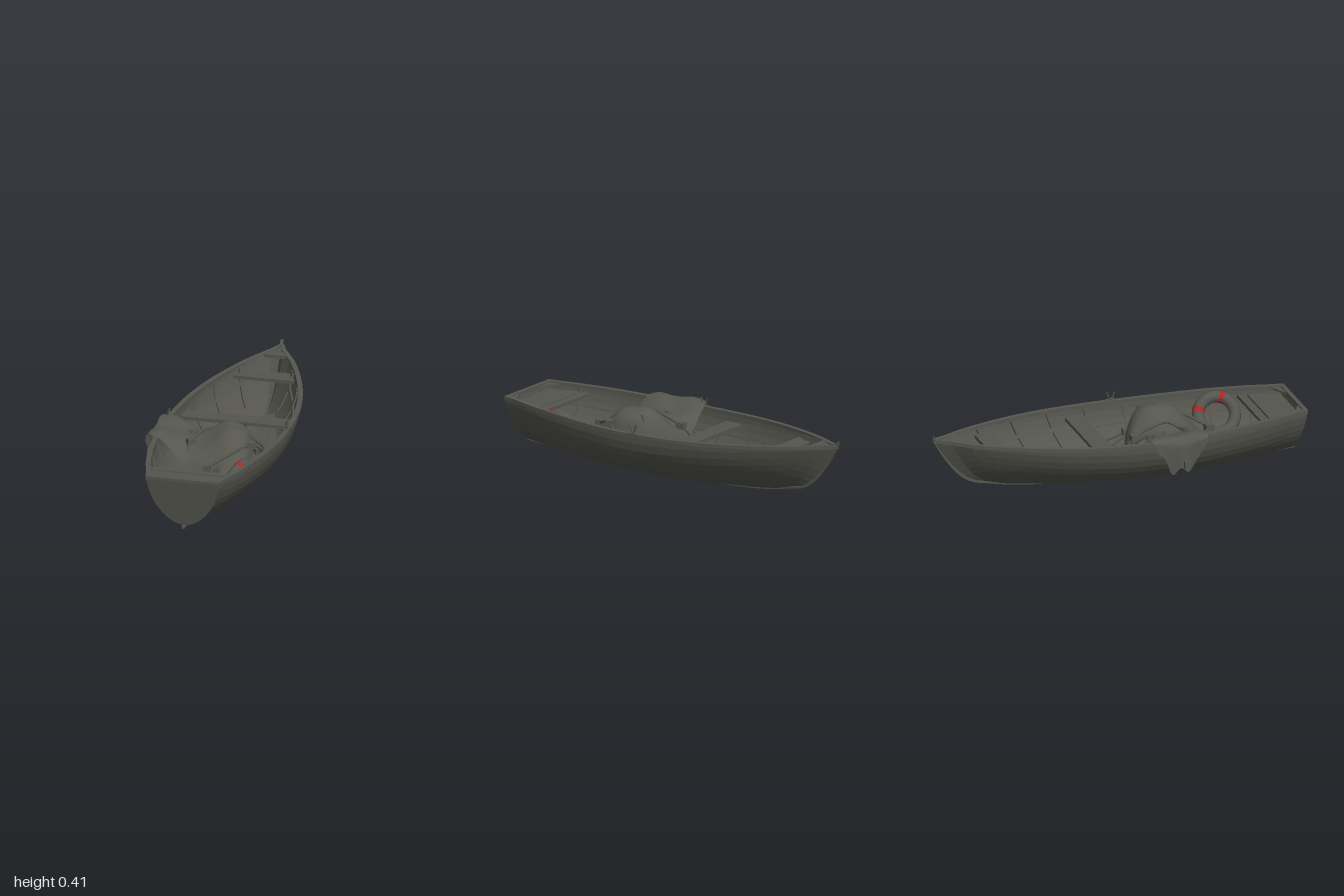
import * as THREE from 'three';

const grey = new THREE.MeshStandardMaterial({ color: 0x56564f, side: THREE.DoubleSide });
grey.name = 'weatheredGrey';
const red = new THREE.MeshStandardMaterial({ color: 0xa82a24 });
red.name = 'fadedRed';

// evenly spaced station tables, bow (0) to stern (1)
const table = (vals) => {
  const c = new THREE.SplineCurve(vals.map((v, i) => new THREE.Vector2(i, v)));
  return (t) => c.getPoint(THREE.MathUtils.clamp(t, 0, 1)).y;
};
const halfWidth = table([.008, .138, .235, .307, .352, .373, .375, .359, .328, .281, .222]);
const sheer = table([.38, .364, .354, .345, .337, .333, .332, .337, .345, .352, .358]);
const keelY = table([.08, .041, .025, .016, .011, .01, .012, .02, .03, .042, .055]);
const fullness = table([1.35, 1.55, 1.75, 1.9, 2, 2.1, 2.1, 2.05, 2, 1.9, 1.8]);
const lerp = THREE.MathUtils.lerp;
const stationAt = (z) => (z + 1.24) / 2.27;

// point on the hull: t along the boat, v from keel to gunwale
function hullPoint(t, v, inset = 0, side = 1) {
  const a = v * Math.PI / 2, e = 2 / fullness(t);
  const f = 1 - Math.pow(Math.max(0, Math.cos(a)), e);
  const x = Math.max(0, halfWidth(t) - inset) * Math.pow(Math.sin(a), e);
  const zBow = -.93 - .31 * Math.sqrt(f) + inset, zStern = lerp(.985, 1.03, f) - inset;
  return [side * x, lerp(keelY(t) + inset, sheer(t), f), lerp(zBow, zStern, t)];
}

// surface from a rule over u, v in 0..1
function grid(fn, nu, nv, flat = false) {
  const pos = [], idx = [];
  for (let i = 0; i <= nu; i++) for (let j = 0; j <= nv; j++) pos.push(...fn(i / nu, j / nv));
  for (let i = 0; i < nu; i++) for (let j = 0; j < nv; j++) {
    const a = i * (nv + 1) + j, b = a + nv + 1;
    idx.push(a, b, b + 1, a, b + 1, a + 1);
  }
  let g = new THREE.BufferGeometry();
  g.setAttribute('position', new THREE.Float32BufferAttribute(pos, 3));
  g.setIndex(idx);
  if (flat) g = g.toNonIndexed();
  g.computeVertexNormals();
  return g;
}

// flat board with an outline in x, z and its top at y
function board(outline, y, thick) {
  const s = new THREE.Shape(outline.map((p) => new THREE.Vector2(p[0], p[1])));
  return new THREE.ExtrudeGeometry(s, { depth: thick, bevelEnabled: false })
    .rotateX(Math.PI / 2).translate(0, y, 0);
}

export function createModel() {
  const model = new THREE.Group();
  model.name = 'rowingBoat';
  const boat = new THREE.Group();
  boat.name = 'boat';
  boat.rotation.y = .607;
  boat.position.set(-.031, 0, .022);
  model.add(boat);
  const add = (name, geo, mat = grey) => {
    const m = new THREE.Mesh(geo, mat);
    m.name = name;
    boat.add(m);
    return m;
  };

  // hull shells, rails, ribs and stringers on both sides
  const corners = [[0, 0], [1, 0], [1, 1], [0, 1], [0, 0]];
  for (const side of [1, -1]) {
    add('hullOuter', grid((t, v) => hullPoint(t, v, 0, side), 24, 10, true));
    add('hullInner', grid((t, v) => hullPoint(t, v, .018, side), 24, 10, true));
    add('gunwale', grid((t, v) => {
      const [cx, cy] = corners[Math.round(v * 4)];
      const [x, y, z] = hullPoint(t, 1);
      return [side * Math.max(0, x + (cx ? .005 : -.026)), y + (cy ? .004 : -.018), z];
    }, 32, 4, true));
    for (let t = .14; t < .93; t += .11) {
      add('rib', grid((u, v) => {
        const [cx, cy] = corners[Math.round(v * 4)];
        return hullPoint(t + (cx - .5) * .018, lerp(.45, .96, u), cy ? .017 : .028, side);
      }, 8, 4, true));
    }
    add('stringer', grid((u, v) => {
      const [cx, cy] = corners[Math.round(v * 4)];
      return hullPoint(lerp(.08, .96, u), .72 + cx * .05, cy ? .017 : .027, side);
    }, 20, 4, true));
    // corner knee at the stern
    add('sternKnee', board([[side * .205, 1.01], [side * .09, 1.01], [side * .2, .96], [side * .24, .9]], .352, .014));
  }

  // transom with inner face and cap
  for (const [name, inset] of [['transomOuter', 0], ['transomInner', .02]]) {
    add(name, grid((u, v) => {
      const p = hullPoint(1, v, inset);
      return [p[0] * (2 * u - 1), p[1], p[2]];
    }, 2, 14));
  }
  add('transomCap', new THREE.BoxGeometry(.446, .018, .026).translate(0, .352, 1.018));

  // stem and keel timber
  const inner = [], outer = [];
  for (let i = 0; i <= 10; i++) {
    const p = hullPoint(0, 1 - i / 10);
    inner.push([p[2] + .012, p[1] + (i ? 0 : .012)]);
    outer.push([p[2] - .006, p[1] - (i ? .01 * i / 10 : -.032)]);
  }
  for (let i = 1; i <= 14; i++) {
    const p = hullPoint(i / 14, 0), z = i === 14 ? 1.02 : p[2];
    inner.push([z, p[1] + .004]);
    outer.push([z, p[1] - .01]);
  }
  const keelShape = new THREE.Shape([...inner, ...outer.reverse()].map((p) => new THREE.Vector2(...p)));
  add('keel', new THREE.ExtrudeGeometry(keelShape, { depth: .018, bevelEnabled: false })
    .rotateY(-Math.PI / 2).translate(.009, 0, 0));

  // floor boards tapering to the bow
  for (let i = 0; i < 7; i++) {
    add('floorBoard', grid((u, v) => {
      const t = lerp(.1, .93, u), k = (i + .04 + v * .92) / 3.5 - 1;
      return [k * halfWidth(t) * .66, .08 + .03 * Math.abs(k) + .03 * Math.pow(2 * u - 1, 4), lerp(-.93, .97, t)];
    }, 14, 1));
  }

  // seats and bow deck
  const seat = (name, z0, z1, y, trim = .024) => {
    const a = Math.max(.004, halfWidth(stationAt(z0)) - trim), b = halfWidth(stationAt(z1)) - trim;
    add(name, board([[-a, z0], [a, z0], [b, z1], [-b, z1]], y, .02));
  };
  seat('bowDeck', -1.225, -1.08, .372, .008);
  seat('bowSeat', -.935, -.82, .322, .03);
  seat('middleSeat', -.305, -.19, .28, .026);
  seat('sternSeatFront', .75, .8, .315, .035);
  seat('sternSeat', .81, 1, .315, .035);

  // oarlocks
  for (const side of [1, -1]) {
    const lock = new THREE.Group();
    lock.name = 'oarlock';
    lock.position.set(side * .364, .334, -.005);
    lock.rotation.y = Math.PI / 2;
    const prongs = new THREE.CatmullRomCurve3([[-.024, .054], [-.016, .035], [-.014, .02], [0, .01], [.014, .02], [.016, .035], [.024, .054]]
      .map((p) => new THREE.Vector3(p[0], p[1], 0)));
    lock.add(new THREE.Mesh(new THREE.TubeGeometry(prongs, 16, .005, 6), grey));
    lock.add(new THREE.Mesh(new THREE.CylinderGeometry(.008, .008, .03, 8), grey));
    lock.add(new THREE.Mesh(new THREE.BoxGeometry(.06, .012, .03), grey));
    boat.add(lock);
  }

  // crumpled cloth heap
  const heapY = (x, z) => .225 + .172 * Math.exp(-((((x - .07) ** 2 + (z - .17) ** 2) / .042) ** 1.4))
    + .135 * THREE.MathUtils.smoothstep(-x, .03, .36)
    + .01 * Math.sin(x * 23 + z * 9) * Math.sin(z * 19 - x * 8);
  const outline = new THREE.CatmullRomCurve3([[-.044, -.057], [.164, .056], [.218, .254], [.21, .439], [.11, .62],
    [.03, .49], [-.1, .44], [-.25, .39], [-.385, .345], [-.388, .16], [-.385, 0], [-.18, -.054]]
    .map((p) => new THREE.Vector3(p[0], 0, p[1])), true, 'centripetal');
  add('clothHeap', grid((u, r) => {
    const p = outline.getPoint(u), x = lerp(.06, p.x, r), z = lerp(.18, p.z, r);
    return [x, heapY(x, z) - .08 * r ** 8 * THREE.MathUtils.smoothstep(x, -.34, -.12), z];
  }, 60, 14));

  // cloth hanging over the side
  const hem = table([.28, .24, .13, .18, .145, .21, .3]);
  add('clothDrape', grid((u, v) => {
    const out = .028 * Math.sin(Math.min(1, v * 4) * Math.PI / 2);
    const z = lerp(0, .345, u), pinch = lerp(1, .9, v);
    return [-.382 - out - .008 * v * Math.sin(u * 14), lerp(.36, hem(u), v) + .006 * Math.sin(u * 9), .17 + (z - .17) * pinch];
  }, 24, 12));
  add('hangingFloat', new THREE.BoxGeometry(.03, .045, .045).translate(-.418, .195, .21));

  // net ropes with block floats; points are x, z and an optional height
  const rope = (pts, floats) => {
    const v = pts.map(([x, z, y]) => {
      const lx = .821 * x - .571 * z + .038, lz = .571 * x + .821 * z;
      return new THREE.Vector3(lx, y ?? heapY(lx, lz) + .01, lz);
    });
    add('netRope', new THREE.TubeGeometry(new THREE.CatmullRomCurve3(v), 50, .008, 6));
    for (const i of floats) {
      const f = add('netFloat', new THREE.BoxGeometry(.04, .038, .052));
      f.position.copy(v[i]);
      f.rotation.y = i * .7 - .6;
    }
  };
  rope([[-.39, -.17, .13], [-.35, -.24, .13], [-.25, -.275, .14], [-.08, -.25, .14], [.04, -.2, .15], [.13, -.11, .17],
    [.15, -.06, .2], [.26, -.03, .22], [.3, .12], [.28, .27], [.25, .42]], [2, 6, 8, 10]);
  rope([[-.1, .25], [-.19, .15, .27], [-.22, .05, .22], [-.18, -.06, .18], [-.08, -.11, .17], [.1, -.04, .21], [.13, .02]], [5]);
  rope([[-.2, .02, .2], [-.13, .07], [-.06, .15], [-.01, .24], [0, .33], [.06, .41]], [1, 4]);
  rope([[.18, .42], [.2, .5, .2], [.25, .55, .17], [.33, .57, .16], [.41, .55, .16], [.45, .48, .17]], [3]);

  // ring buoy leaning on the side, with red bands
  const ring = new THREE.Group();
  ring.name = 'ringBuoy';
  ring.position.set(.2, .228, .602);
  ring.rotation.y = -Math.PI / 2 - .2;
  const tilt = new THREE.Group();
  tilt.rotation.x = -.55;
  ring.add(tilt);
  tilt.add(new THREE.Mesh(new THREE.TorusGeometry(.11, .036, 10, 32), grey));
  for (const a of [Math.PI / 2, Math.PI, -Math.PI / 2]) {
    const band = new THREE.Mesh(new THREE.TorusGeometry(.11, .038, 10, 4, .26), red);
    band.name = 'redBand';
    band.rotation.z = a - .45;
    tilt.add(band);
  }
  boat.add(ring);
  return model;
}
